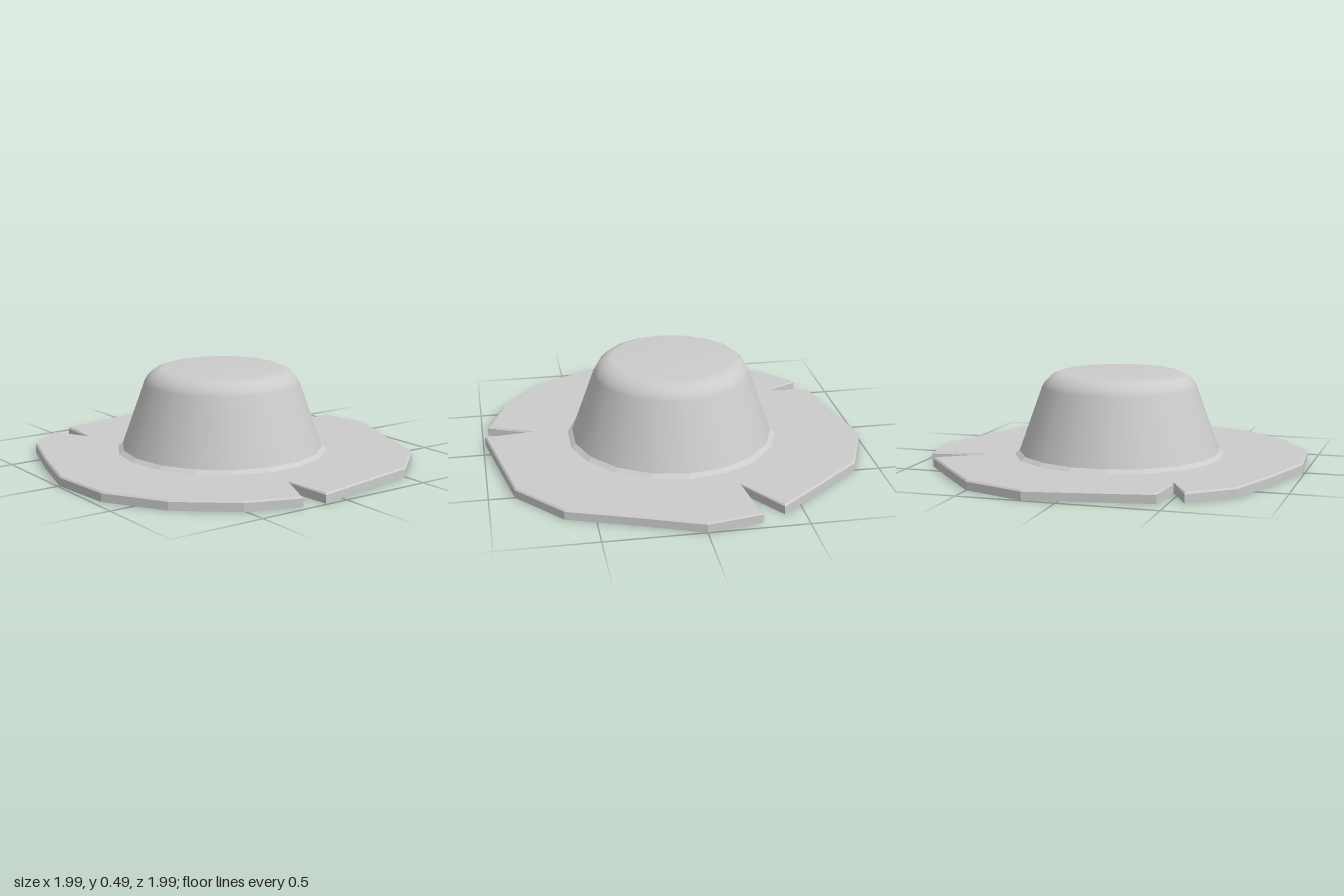
import * as THREE from 'three';

const material = new THREE.MeshStandardMaterial({ color: 0xcccccc });
const flatMaterial = new THREE.MeshStandardMaterial({ color: 0xcccccc, flatShading: true });
const SIDES = 18;
const CENTER_Z = 0.01;
const RIM_HEIGHT = 0.05;
const BEVEL = 0.008;

// Uneven brim outline (x, z) with three torn notches
const outline = [
  [0, -1], [0.34, -0.87], [0.65, -0.76], [0.87, -0.5],
  [0.99, 0.12], [0.74, 0.14], [0.97, 0.24], // notch on the left
  [0.87, 0.51], [0.65, 0.78], [0.35, 0.96], [0, 0.99], [-0.34, 0.89], [-0.65, 0.78],
  [-0.83, 0.57], [-0.64, 0.47], [-0.88, 0.45], // notch at the front right
  [-0.995, -0.17], [-0.87, -0.5], [-0.62, -0.71],
  [-0.4, -0.89], [-0.24, -0.65], [-0.28, -0.95], // notch at the back
];

function makeBrim() {
  const shape = new THREE.Shape(outline.map(([x, z]) => new THREE.Vector2(x, -z)));
  const geometry = new THREE.ExtrudeGeometry(shape, {
    depth: RIM_HEIGHT - BEVEL,
    bevelEnabled: true,
    bevelThickness: BEVEL,
    bevelSize: BEVEL,
    bevelOffset: -BEVEL,
    bevelSegments: 1,
  });
  // Flatten the lower bevel so only the top edge is chamfered
  const p = geometry.attributes.position;
  for (let i = 0; i < p.count; i++) p.setZ(i, Math.max(0, p.getZ(i)));
  geometry.rotateX(-Math.PI / 2);
  geometry.computeVertexNormals();
  return new THREE.Mesh(geometry, flatMaterial);
}

function makeLathe(profile, mat) {
  const points = profile.map(([r, y]) => new THREE.Vector2(r, y));
  const mesh = new THREE.Mesh(new THREE.LatheGeometry(points, SIDES), mat);
  mesh.position.z = CENTER_Z;
  return mesh;
}

export function createModel() {
  const group = new THREE.Group();
  group.name = 'hat';

  const brim = makeBrim();
  brim.name = 'brim';

  // Sloped collar where the crown meets the brim
  const collar = makeLathe([[0.56, 0.048], [0.532, 0.068]], flatMaterial);
  collar.name = 'crownCollar';

  // Tapered crown with a rounded shoulder and flat top
  const crown = makeLathe([
    [0.532, 0.068], [0.41, 0.41], [0.395, 0.437], [0.365, 0.467], [0.315, 0.487], [0, 0.487],
  ], material);
  crown.name = 'crown';

  group.add(brim, collar, crown);
  return group;
}
